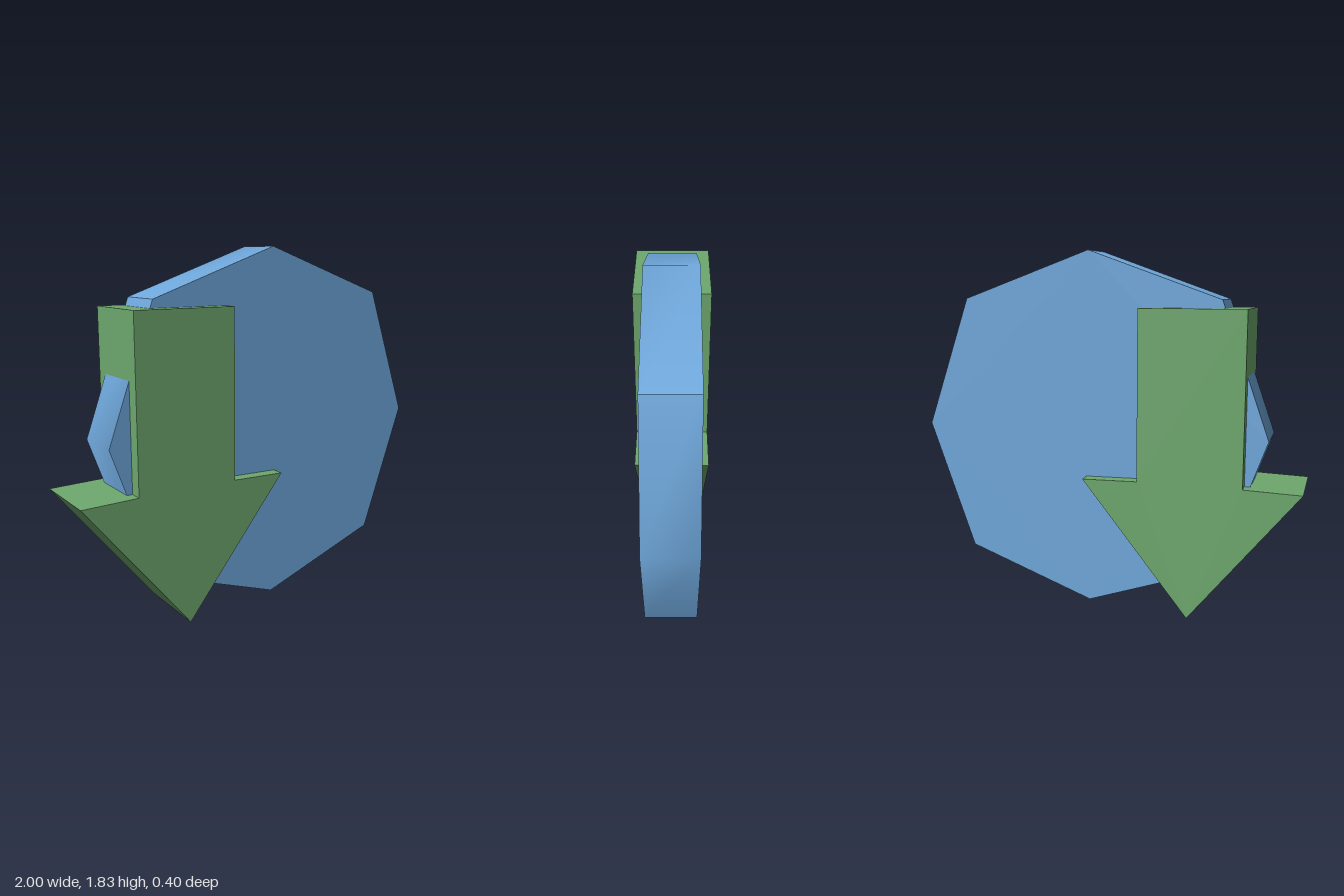
import * as THREE from 'three';
import { toCreasedNormals } from 'three/addons/utils/BufferGeometryUtils.js';

// Flat outline extruded symmetrically about z = 0
function slab(name, points, depth, color) {
  const shape = new THREE.Shape(points.map(([x, y]) => new THREE.Vector2(x, y)));
  const extruded = new THREE.ExtrudeGeometry(shape, { depth, bevelEnabled: false });
  extruded.translate(0, 0, -depth / 2);
  // Shallow corners shade smoothly, sharper ones stay crisp
  const geometry = toCreasedNormals(extruded, Math.PI / 4);
  const mesh = new THREE.Mesh(geometry, new THREE.MeshStandardMaterial({ color }));
  mesh.name = name;
  return mesh;
}

export function createModel() {
  const model = new THREE.Group();
  model.name = 'discWithArrow';

  // Eight-sided disc; the diagonal corners reach slightly further out
  const cx = 0.086, cy = 0.92;
  const outline = [];
  for (let i = 0; i < 8; i++) {
    const r = i % 2 ? 0.95 : 0.911;
    const a = (i * Math.PI) / 4;
    outline.push([cx + r * Math.cos(a), cy + r * Math.sin(a)]);
  }
  model.add(slab('disc', outline, 0.26, 0x6fa8dc));

  // Thicker arrow pointing down, the disc passing through it
  model.add(slab('downArrow', [
    [-0.452, 0], [0.1, 0.685], [-0.187, 0.692], [-0.187, 1.55],
    [-0.715, 1.55], [-0.715, 0.692], [-1, 0.685],
  ], 0.396, 0x6ea86e));

  return model;
}
